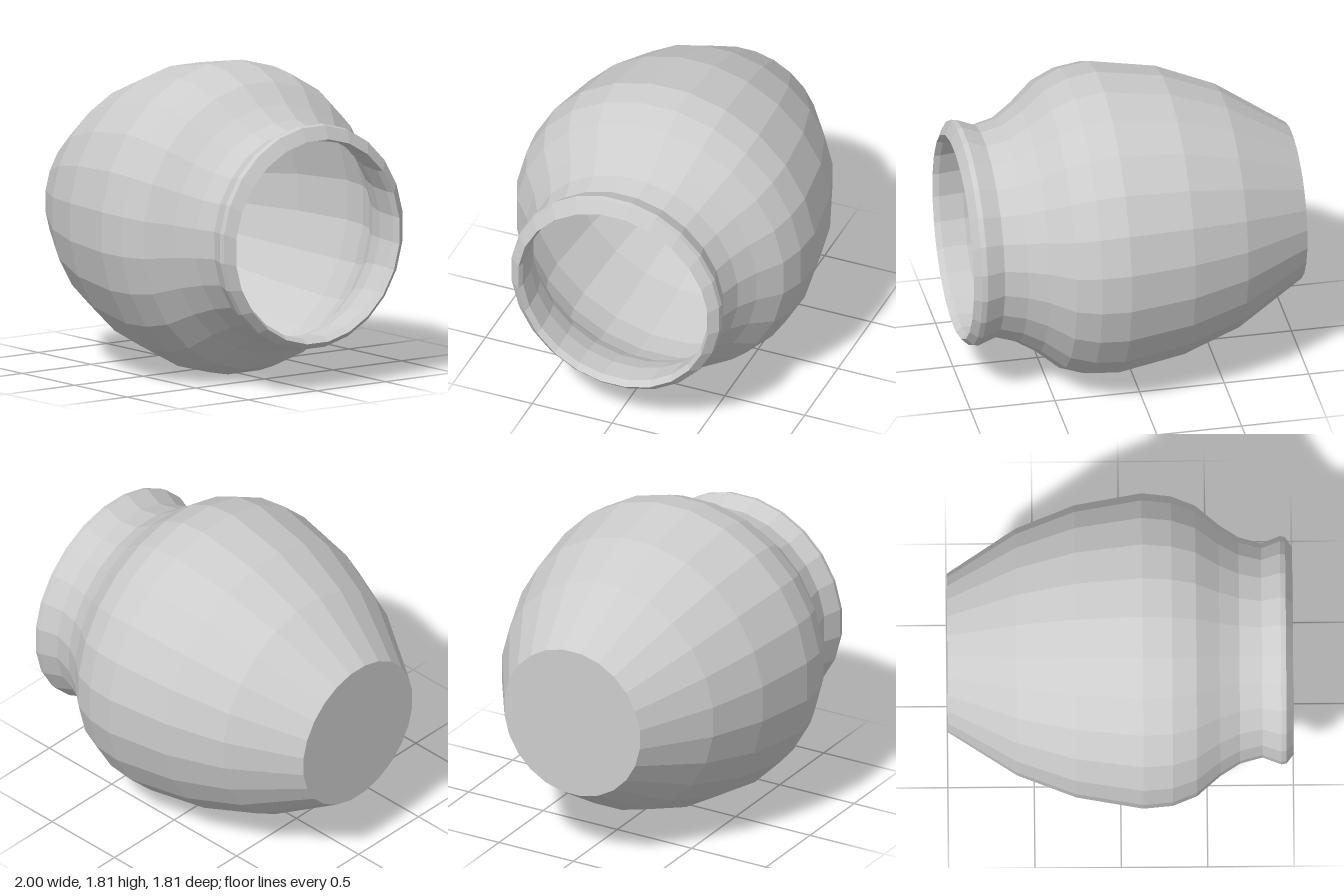
import * as THREE from 'three';

const SIDES = 24;

// Skin a list of rings [x, centreY, centreZ, apothem] running along the x axis
function skinRings(rings) {
  const scale = 1 / Math.cos(Math.PI / SIDES);
  const point = ([x, cy, cz, r], j) => {
    const a = ((j + 0.5) / SIDES) * Math.PI * 2;
    return [x, cy + r * scale * Math.cos(a), cz + r * scale * Math.sin(a)];
  };
  const pos = [];
  for (let i = 0; i < rings.length - 1; i++) {
    const [p, q] = [rings[i], rings[i + 1]];
    for (let j = 0; j < SIDES; j++) {
      const a = point(p, j), b = point(p, j + 1), c = point(q, j), d = point(q, j + 1);
      if (p[3] > 0) pos.push(...a, ...b, ...c);
      if (q[3] > 0) pos.push(...b, ...d, ...c);
    }
  }
  const geo = new THREE.BufferGeometry();
  geo.setAttribute('position', new THREE.Float32BufferAttribute(pos, 3));
  geo.computeVertexNormals();
  return geo;
}

export function createModel() {
  const group = new THREE.Group();
  group.name = 'pot';
  const clay = new THREE.MeshStandardMaterial({ color: 0xcccccc, flatShading: true });
  clay.name = 'pale grey clay';

  const add = (name, rings) => {
    const mesh = new THREE.Mesh(skinRings(rings), clay);
    mesh.name = name;
    group.add(mesh);
  };

  // Pot lying on its side: base at -x, mouth at +x, rings slightly off centre
  const body = [
    [-1, 0.886, -0.008, 0.455],
    [-0.6, 0.898, -0.006, 0.709],
    [-0.26, 0.907, -0.004, 0.839],
    [0.13, 0.908, -0.003, 0.906],
    [0.3, 0.902, -0.003, 0.889],
    [0.44, 0.895, -0.006, 0.835],
    [0.575, 0.895, -0.007, 0.722],
    [0.69, 0.891, -0.008, 0.65],
    [0.82, 0.895, -0.005, 0.615],
  ];
  add('base', [[-1, 0.886, -0.008, 0], body[0]]);
  add('body', body);

  // Flared collar, bevelled rim and inner lip
  const lip = [0.965, 0.886, -0.005, 0.576];
  const innerNeck = [0.82, 0.89, -0.005, 0.588];
  add('rim', [
    body[8],
    [0.93, 0.897, -0.005, 0.656],
    [0.96, 0.896, -0.005, 0.65],
    [1, 0.876, -0.007, 0.594],
    lip,
    innerNeck,
  ]);

  // Inside wall follows the outside, thinning to the floor
  const inner = body.slice(1, 8).reverse().map(([x, y, z, r]) => [x, y, z, r - 0.02]);
  const floor = [-0.985, 0.886, -0.008, 0.453];
  add('insideWall', [innerNeck, ...inner, floor]);
  add('insideFloor', [floor, [-0.985, 0.886, -0.008, 0]]);
  return group;
}
